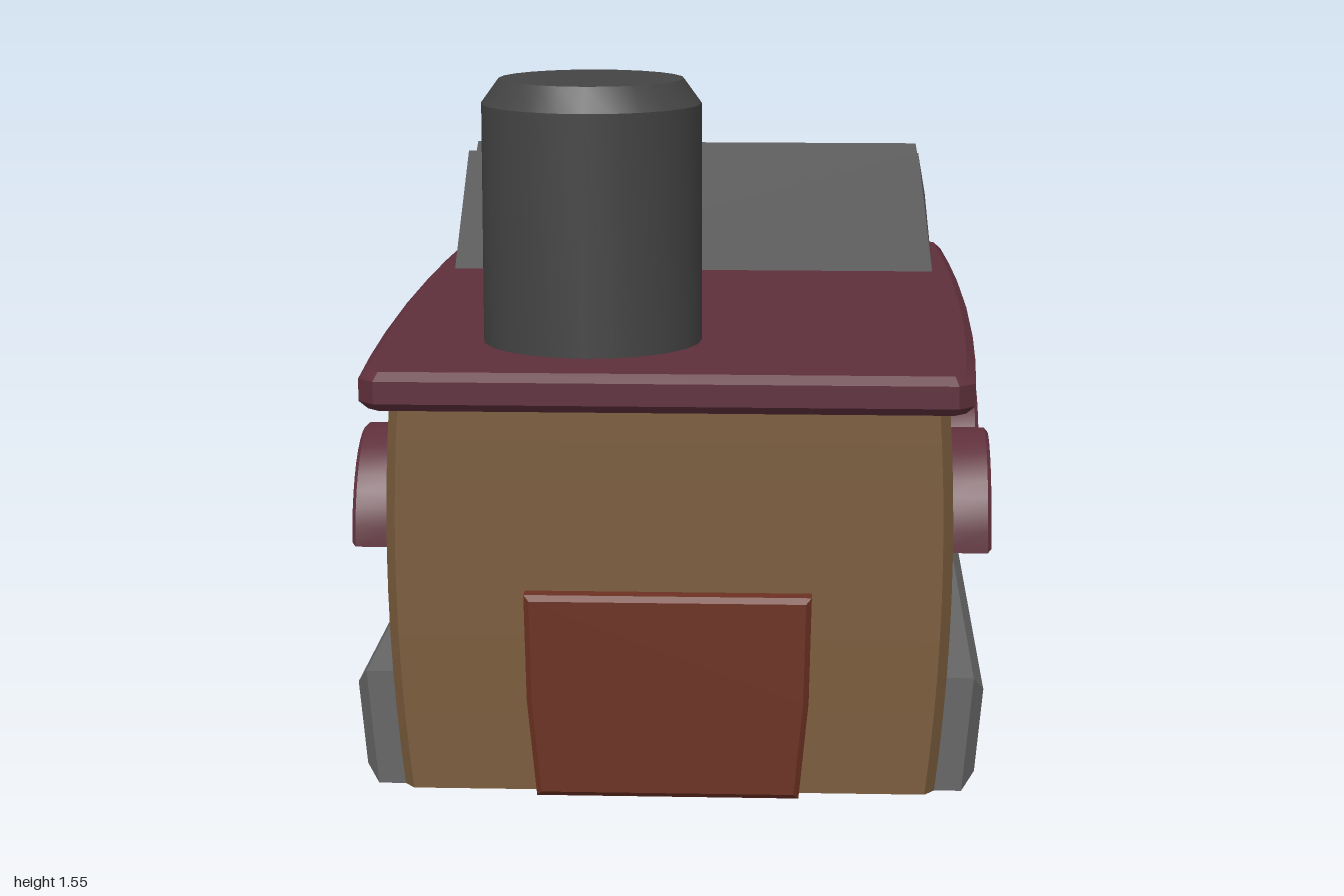
import * as THREE from 'three';
import { toCreasedNormals } from 'three/addons/utils/BufferGeometryUtils.js';

const mat = (color, side = THREE.FrontSide) => new THREE.MeshStandardMaterial({ color, side });
const WALL = mat(0x7a5c3c, THREE.DoubleSide);
const ROOF = mat(0x5f303c);
const GREY = mat(0x666666);
const DARK = mat(0x444444);
const GLASS = mat(0x4c8f98, THREE.DoubleSide);
const DOOR = mat(0x6c3122);

// Half width of the gently bulging house at a given height and depth
const half = (y, z) => 0.63 - 0.033 * ((y - 0.55) / 0.55) ** 2 - 0.01 * z * z;

function edit(geo, rule) {
  const p = geo.attributes.position;
  const v = new THREE.Vector3();
  for (let i = 0; i < p.count; i++) {
    rule(v.fromBufferAttribute(p, i));
    p.setXYZ(i, v.x, v.y, v.z);
  }
  geo.computeVertexNormals();
  return geo;
}

// Treats x as the distance out from the side wall
const onWall = (geo) => edit(geo, (v) => { v.x += half(v.y, v.z); });

function add(parent, name, geo, material) {
  const mesh = new THREE.Mesh(toCreasedNormals(geo, 0.5), material);
  mesh.name = name;
  parent.add(mesh);
}

const polygon = (pts) => new THREE.Shape(pts.map(([x, y]) => new THREE.Vector2(x, y)));
const rect = (x0, y0, x1, y1) => polygon([[x0, y0], [x1, y0], [x1, y1], [x0, y1]]);
const bevelled = (shape, depth, size, thick = size) => new THREE.ExtrudeGeometry(shape,
  { depth, bevelEnabled: true, bevelSegments: 1, bevelSize: size, bevelThickness: thick, curveSegments: 9 });

// One long side: panels, round windows with hoods, skirting
function side() {
  const g = new THREE.Group();
  const windowY = 0.53;
  const edges = [-0.81, -0.2725, 0.2725, 0.81];
  [-0.545, 0, 0.545].forEach((c, i) => {
    const panel = rect(edges[i], 0.29, edges[i + 1], 0.88);
    const hole = new THREE.Path();
    hole.absarc(c, windowY, 0.212, 0, Math.PI * 2, true);
    panel.holes.push(hole);
    add(g, 'sideWall', onWall(new THREE.ShapeGeometry(panel, 9).rotateY(Math.PI / 2)), WALL);

    // Tapered recess and pane
    const recess = new THREE.CylinderGeometry(0.212, 0.187, 0.045, 18, 1, true)
      .rotateZ(-Math.PI / 2).translate(-0.0225, windowY, -c);
    add(g, 'windowRecess', onWall(recess), WALL);
    const pane = new THREE.CircleGeometry(0.19, 18).rotateY(Math.PI / 2).translate(-0.044, windowY, -c);
    add(g, 'windowPane', onWall(pane), GLASS);

    // Half-round hood
    const hood = new THREE.Shape();
    hood.absarc(0, 0, 0.217, 0, Math.PI, false);
    hood.absarc(0, 0, 0.193, Math.PI, 0, true);
    const hoodGeo = bevelled(hood, 0.115, 0.008).rotateY(Math.PI / 2).translate(0.588, windowY + 0.004, -c);
    add(g, 'windowHood', hoodGeo, ROOF);
  });
  const skirting = bevelled(rect(-0.805, 0.035, 0.805, 0.225), 0.08, 0.035, 0.025)
    .rotateY(Math.PI / 2).translate(-0.02, 0, 0);
  add(g, 'skirting', onWall(skirting), GREY);
  return g;
}

export function createModel() {
  const model = new THREE.Group();

  // Matching long sides
  for (const angle of [0, Math.PI]) {
    const s = side();
    s.name = angle ? 'rightSide' : 'leftSide';
    s.rotation.y = angle;
    model.add(s);
  }

  // Lower body behind the skirting
  const base = new THREE.BoxGeometry(2, 0.3, 1.62, 1, 4, 1).translate(0, 0.15, 0);
  add(model, 'lowerBody', edit(base, (v) => { v.x = Math.sign(v.x) * half(v.y, v.z); }), WALL);

  // Front and back walls with chamfered corners
  for (const s of [1, -1]) {
    const wall = new THREE.BoxGeometry(2, 0.88, 0.08, 1, 10, 2).translate(0, 0.44, 0);
    edit(wall, (v) => {
      const t = v.z * s;
      const inset = t > 0.01 ? 0.022 : 0;
      v.z = s * (t > 0.01 ? 0.87 : t < -0.01 ? 0.79 : 0.84);
      v.x = Math.sign(v.x) * (half(v.y, v.z) - inset);
    });
    add(model, s > 0 ? 'frontWall' : 'backWall', wall, WALL);
  }

  // Roof slab with bowed long edges and cut corners
  const outline = [];
  for (const s of [1, -1]) {
    outline.push([s * 0.615, -s * 0.98], [s * 0.64, -s * 0.955]);
    for (const z of [-0.7, -0.4, 0, 0.4, 0.7]) outline.push([s * (0.665 - 0.027 * z * z), s * z]);
    outline.push([s * 0.64, s * 0.955], [s * 0.615, s * 0.98]);
  }
  const roof = bevelled(polygon(outline), 0.049, 0.02, 0.018).rotateX(-Math.PI / 2).translate(0, 0.898, 0);
  add(model, 'roof', roof, ROOF);

  // Door, narrower at the foot
  const door = bevelled(polygon([[-0.278, 0.012], [0.278, 0.012], [0.298, 0.22], [0.303, 0.445],
    [-0.303, 0.445], [-0.298, 0.22]]), 0.06, 0.012);
  add(model, 'door', door.translate(0, 0, 0.848), DOOR);

  // Chimney
  const profile = [[0, 0.95], [0.247, 0.95], [0.247, 1.5], [0.207, 1.555], [0, 1.555]];
  const chimney = new THREE.LatheGeometry(profile.map(([r, y]) => new THREE.Vector2(r, y)), 24);
  add(model, 'chimney', chimney.translate(-0.185, 0, 0.565), DARK);

  // Saw-tooth vent: profile runs front to back, ends lean inwards
  const teeth = polygon([[0.44, 0.95], [0.87, 0.95], [0.87, 1.105], [0.765, 1.155], [0.765, 1.225], [0.655, 1.272],
    [0.655, 1.105], [0.545, 1.155], [0.545, 1.225], [0.44, 1.272]]);
  const vent = new THREE.ExtrudeGeometry(teeth, { depth: 2, bevelEnabled: false })
    .translate(0, 0, -1).rotateY(Math.PI / 2);
  edit(vent, (v) => {
    const rise = Math.max(0, (v.y - 0.95) / 0.32);
    v.x = Math.sign(v.x) * (0.62 - 0.042 * rise ** 1.6);
  });
  add(model, 'sawToothVent', vent, GREY);

  return model;
}
